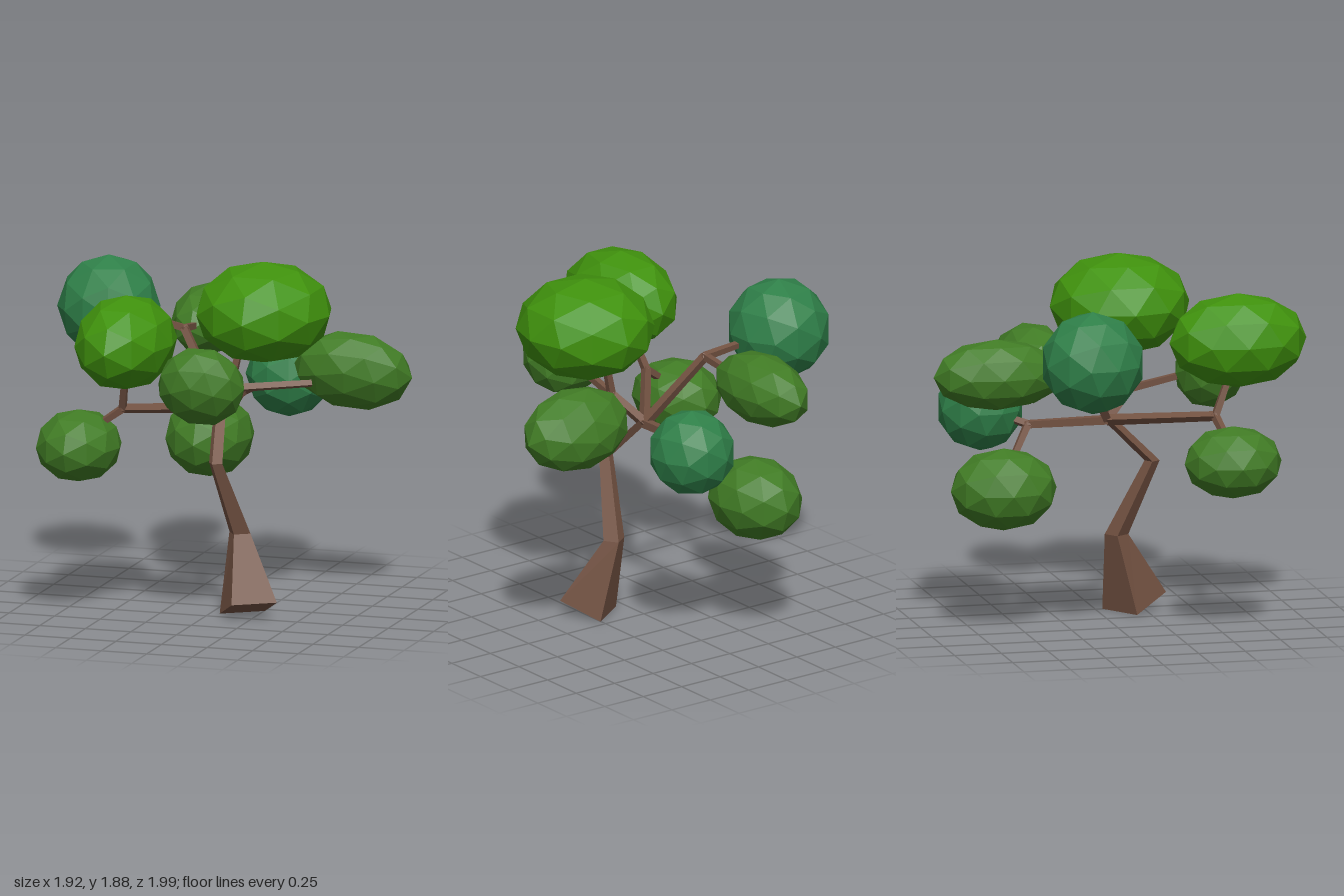
import * as THREE from 'three';

const mat = (name, color) => {
  const m = new THREE.MeshStandardMaterial({ color, flatShading: true });
  m.name = name;
  return m;
};

const V = (x, y, z) => new THREE.Vector3(x, y, z);

// Square-section trunk lofted through rings: [centre, half width, half depth, tilt]
function trunkGeometry(rings) {
  const turn = 0.595; // the trunk's flat side faces front-left
  const u = V(Math.cos(turn), 0, -Math.sin(turn));
  const w = V(Math.sin(turn), 0, Math.cos(turn));
  const pos = [], idx = [];
  for (const [c, hu, hw, tilt] of rings) {
    for (const [a, b] of [[-1, 1], [1, 1], [1, -1], [-1, -1]]) {
      const p = c.clone().addScaledVector(u, a * hu).addScaledVector(w, b * hw);
      pos.push(p.x, p.y + b * tilt, p.z);
    }
  }
  for (let r = 0; r < rings.length - 1; r++) {
    for (let i = 0; i < 4; i++) {
      const a = r * 4 + i, b = r * 4 + (i + 1) % 4;
      idx.push(a, b, b + 4, a, b + 4, a + 4);
    }
  }
  const t = (rings.length - 1) * 4;
  idx.push(0, 3, 2, 0, 2, 1, t, t + 1, t + 2, t, t + 2, t + 3);
  const indexed = new THREE.BufferGeometry();
  indexed.setAttribute('position', new THREE.Float32BufferAttribute(pos, 3));
  indexed.setIndex(idx);
  const g = indexed.toNonIndexed();
  g.computeVertexNormals();
  return g;
}

// Four-sided tapering limb between two points
function limb(name, a, b, r0, r1, material) {
  const dir = b.clone().sub(a);
  const g = new THREE.CylinderGeometry(r1, r0, dir.length(), 4);
  g.rotateY(Math.PI / 4);
  const m = new THREE.Mesh(g, material);
  m.name = name;
  m.position.copy(a).add(b).multiplyScalar(0.5);
  m.quaternion.setFromUnitVectors(V(0, 1, 0), dir.normalize());
  return m;
}

export function createModel() {
  const tree = new THREE.Group();
  tree.name = 'tree';
  const bark = mat('bark brown', 0x735242);
  const bright = mat('bright green', 0x40920d);
  const mid = mat('leaf green', 0x417c25);
  const teal = mat('blue green', 0x2f8049);

  // Trunk, zigzagging up to the crotch
  const crotch = V(-0.005, 1.06, 0);
  const trunk = new THREE.Mesh(trunkGeometry([
    [V(0.215, 0.045, 0.2), 0.123, 0.112, 0.045],
    [V(0.132, 0.42, 0.085), 0.045, 0.042, 0],
    [V(0.055, 0.82, 0.257), 0.028, 0.028, 0],
    [V(-0.005, 1.08, -0.005), 0.025, 0.025, 0],
  ]), bark);
  trunk.name = 'trunk';
  tree.add(trunk);

  // Main branches, each forking into twigs that reach the leaf clumps
  const branches = [
    { name: 'frontRight', node: V(-0.38, 1.13, 0.49), tips: [V(-0.34, 1.32, 0.57), V(-0.52, 1.03, 0.52)] },
    { name: 'frontLeft', node: V(0.1, 1.2, 0.15), tips: [V(0.15, 1.42, 0.14), V(0.09, 1.27, 0.47), V(0.47, 1.205, -0.08)] },
    { name: 'backRight', node: V(-0.26, 1.43, -0.185), tips: [V(-0.48, 1.47, -0.225), V(-0.265, 1.4, -0.42)] },
    { name: 'back', node: V(-0.02, 1.06, -0.43), tips: [V(-0.15, 0.89, -0.55), V(0.06, 1.09, -0.53)] },
  ];
  for (const { name, node, tips } of branches) {
    const group = new THREE.Group();
    group.name = name + 'Branch';
    group.add(limb(name + 'Limb', crotch, node, 0.03, 0.026, bark));
    const knot = new THREE.Mesh(new THREE.IcosahedronGeometry(0.026, 0), bark);
    knot.name = name + 'Knot';
    knot.position.copy(node);
    group.add(knot);
    tips.forEach((tip, i) => group.add(limb(name + 'Twig' + (i + 1), node, tip, 0.025, 0.021, bark)));
    tree.add(group);
  }

  // Faceted leaf clumps: name, material, centre, radii, rotation
  const clumps = [
    ['upperRightClump', teal, [-0.695, 1.51, -0.245], [0.27, 0.272, 0.275], [0, 0.3, 0]],
    ['frontRightClump', bright, [-0.318, 1.515, 0.627], [0.258, 0.25, 0.368], [0, 0, 0]],
    ['topClump', bright, [0.28, 1.617, 0.137], [0.36, 0.268, 0.375], [0, 0, 0]],
    ['frontClump', mid, [0.083, 1.297, 0.585], [0.235, 0.22, 0.187], [0.5, 0, 0]],
    ['leftClump', mid, [0.64, 1.247, -0.265], [0.32, 0.218, 0.188], [0.5, 0, -0.08]],
    ['lowerRightClump', mid, [-0.608, 0.927, 0.53], [0.224, 0.192, 0.26], [0, 0, 0]],
    ['lowerBackClump', mid, [-0.263, 0.77, -0.618], [0.23, 0.218, 0.284], [0, 0, 0]],
    ['backClump', mid, [-0.277, 1.385, -0.66], [0.185, 0.188, 0.338], [0, 0, 0]],
    ['backLeftClump', teal, [0.165, 1.125, -0.64], [0.227, 0.23, 0.23], [0, 0.3, 0]],
  ];
  for (const [name, material, centre, radii, rotation] of clumps) {
    const m = new THREE.Mesh(new THREE.IcosahedronGeometry(1, 1), material);
    m.name = name;
    m.position.set(...centre);
    m.scale.set(...radii);
    m.rotation.set(...rotation);
    tree.add(m);
  }
  return tree;
}
